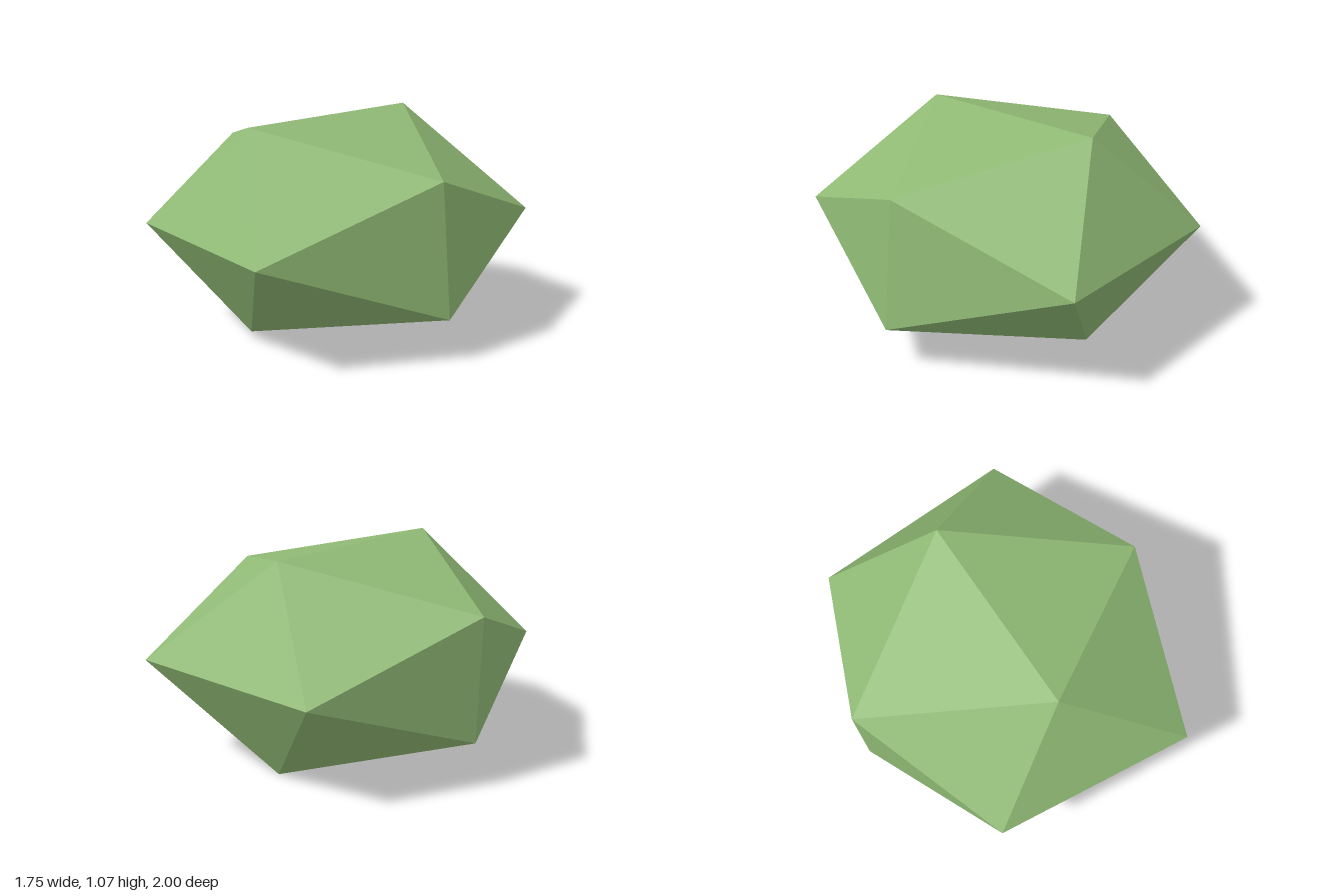
import * as THREE from 'three';

// Corners of the low-poly boulder: a squashed, irregular twenty-sided solid
const corners = {
  A: [-0.32, 1.06, 0.40], // crown
  B: [0.21, 1.07, -0.48],
  C: [0.63, 0.86, 0.39], // shoulders
  D: [-0.75, 0.86, -0.46],
  E: [-0.88, 0.545, 0.38], // waist
  F: [-0.06, 0.545, 1.0],
  G: [0.875, 0.545, -0.50],
  L: [-0.06, 0.545, -1.0],
  H: [0.68, 0.21, 0.42], // lower flanks
  K: [-0.73, 0.24, -0.45],
  I: [-0.32, 0.04, 0.40], // foot
  J: [0.22, 0.0, -0.48],
};

// Facets, each listed counter-clockwise from outside
const facets = [
  'ACB', 'ABD', 'ADE', 'EFA', 'AFC', 'CGB', // upper
  'FHC', 'CHG', 'DKE', // sides
  'LBG', 'LGJ', 'LJK', 'LKD', 'LDB', // back
  'EIF', 'IHF', 'HJG', 'IKJ', 'IJH', 'IEK', // underside
];

export function createModel() {
  const group = new THREE.Group();
  group.name = 'boulder';

  const mossGreen = new THREE.MeshStandardMaterial({ color: 0x90ba75, flatShading: true });
  mossGreen.name = 'mossGreen';

  const positions = facets.flatMap((f) => [...f].flatMap((name) => corners[name]));
  const geometry = new THREE.BufferGeometry();
  geometry.setAttribute('position', new THREE.Float32BufferAttribute(positions, 3));
  geometry.computeVertexNormals();

  const body = new THREE.Mesh(geometry, mossGreen);
  body.name = 'boulderBody';
  group.add(body);
  return group;
}
